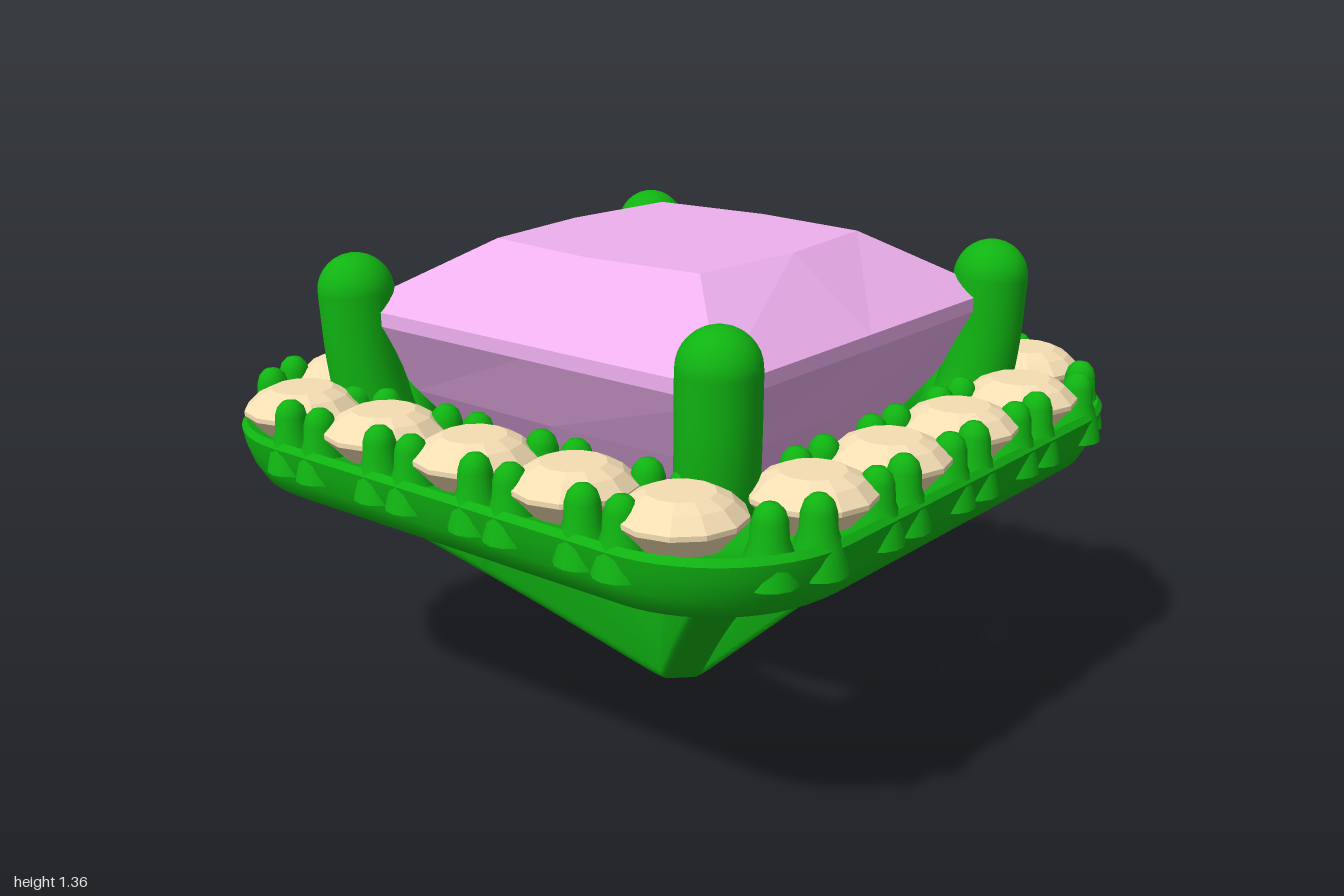
import * as THREE from 'three';
import { toCreasedNormals } from 'three/addons/utils/BufferGeometryUtils.js';

const metal = new THREE.MeshStandardMaterial({ color: 0x10b412 });
const pink = new THREE.MeshStandardMaterial({ color: 0xeeb0ee, flatShading: true });
const cream = new THREE.MeshStandardMaterial({ color: 0xf5deb3, flatShading: true });

// Skin a list of equal-length rings of [x, y, z] points
function loft(rings, closed) {
  const n = rings[0].length, index = [];
  const last = closed ? rings.length : rings.length - 1;
  for (let i = 0; i < last; i++) {
    const a = i * n, b = ((i + 1) % rings.length) * n;
    for (let j = 0; j < n; j++) {
      const k = (j + 1) % n;
      index.push(a + j, b + j, a + k, a + k, b + j, b + k);
    }
  }
  const g = new THREE.BufferGeometry();
  g.setAttribute('position', new THREE.Float32BufferAttribute(rings.flat(2), 3));
  g.setIndex(index);
  g.computeVertexNormals();
  return g;
}

// Rounded square of half-width h and corner radius r at height y
function roundedSquare(h, r, y, steps = 14) {
  const pts = [];
  for (let c = 0; c < 4; c++) {
    const mid = (c + 0.5) * Math.PI / 2;
    const cx = Math.sign(Math.cos(mid)) * (h - r), cz = Math.sign(Math.sin(mid)) * (h - r);
    for (let s = 0; s <= steps; s++) {
      const a = (c + s / steps) * Math.PI / 2;
      pts.push([cx + r * Math.cos(a), y, cz + r * Math.sin(a)]);
    }
  }
  return pts;
}

// Eight-point square: corners at half-width c, edge middles at m
function facetSquare(c, m, y) {
  return [[m, y, 0], [c, y, c], [0, y, m], [-c, y, c], [-m, y, 0], [-c, y, -c], [0, y, -m], [c, y, -c]];
}

export function createModel() {
  const root = new THREE.Group();
  const add = (name, geo, mat, parent = root) => {
    const m = new THREE.Mesh(geo, mat);
    m.name = name;
    parent.add(m);
    return m;
  };
  const group = (name) => {
    const g = new THREE.Group();
    g.name = name;
    root.add(g);
    return g;
  };

  // Square halo frame, swept from a rounded section
  const section = [
    [0.655, 0.07, 0.71], [0.68, 0.09, 0.682], [0.87, 0.31, 0.682], [0.92, 0.35, 0.69], [0.95, 0.37, 0.71],
    [0.975, 0.38, 0.76], [0.99, 0.39, 0.81], [0.998, 0.4, 0.85], [0.985, 0.39, 0.868],
    [0.95, 0.37, 0.85], [0.83, 0.25, 0.83], [0.69, 0.1, 0.85], [0.655, 0.07, 0.84],
  ];
  const frame = loft(section.map(([h, r, y]) => roundedSquare(h, r, y)), true);
  add('haloFrame', toCreasedNormals(frame, 0.8), metal);

  // Large square-cut centre stone
  const cuts = [
    [0, 0, 0.38], [0.21, 0.22, 0.51], [0.37, 0.39, 0.68], [0.53, 0.54, 0.92], [0.65, 0.65, 1.13],
    [0.65, 0.65, 1.17], [0.36, 0.395, 1.355], [0, 0, 1.355],
  ];
  add('centreStone', loft(cuts.map(([c, m, y]) => facetSquare(c, m, y))), pink);

  // Small round stones around the halo
  const stones = group('haloStones');
  const stoneProfile = [[0, 0.78], [0.09, 0.825], [0.162, 0.905], [0.162, 0.918], [0.125, 0.953], [0.085, 0.972], [0, 0.972]]
    .map(([x, y]) => new THREE.Vector2(x, y));
  const stoneGeo = new THREE.LatheGeometry(stoneProfile, 12);
  const stone = (x, z) => add('haloStone', stoneGeo, cream, stones).position.set(x, 0, z);
  for (const s of [-1, 1]) {
    for (const x of [-0.675, -0.34, 0, 0.34, 0.675]) stone(x, s * 0.825);
    for (const z of [-0.51, -0.172, 0.172, 0.51]) stone(s * 0.825, z);
  }

  // Small flared claws, in pairs between neighbouring stones
  const claws = group('haloClaws');
  const clawProfile = [[0.075, 0.78], [0.06, 0.85], [0.047, 0.885], [0.044, 0.93], [0.036, 0.955], [0.02, 0.971], [0, 0.975]]
    .map(([x, y]) => new THREE.Vector2(x, y));
  const clawGeo = new THREE.LatheGeometry(clawProfile, 14);
  const claw = (x, z) => add('haloClaw', clawGeo, metal, claws).position.set(x, 0, z);
  for (const s of [-1, 1]) {
    for (const d of [-0.06, 0.06]) {
      for (const depth of [0.7, 0.937]) {
        for (const m of [-0.53, -0.175, 0.175, 0.53]) claw(m + d, s * depth);
        for (const m of [-0.34, 0, 0.34]) claw(s * depth, m + d);
      }
    }
    for (const t of [-1, 1]) {
      claw(s * 0.885, t * 0.765);
      claw(s * 0.937, t * 0.645);
    }
  }

  // Diagonal basket legs meeting at the foot
  const D = Math.SQRT2, W = 0.13, B = 0.025;
  const v = (x, y) => new THREE.Vector2(x * D, y);
  const legShape = new THREE.Shape();
  legShape.moveTo(0, 0);
  legShape.lineTo(0.03 * D, 0);
  legShape.splineThru([v(0.06, 0.02), v(0.19, 0.15), v(0.33, 0.29), v(0.55, 0.5), v(0.7, 0.63), v(0.8, 0.7)]);
  legShape.lineTo(0.8 * D, 0.76);
  legShape.lineTo(0.56 * D, 0.76);
  legShape.lineTo(0.5 * D, 0.68);
  legShape.splineThru([v(0.36, 0.54), v(0.25, 0.43), v(0.08, 0.255)]);
  legShape.lineTo(0, 0.255);
  const legGeo = toCreasedNormals(new THREE.ExtrudeGeometry(legShape, {
    depth: W - 2 * B, bevelEnabled: true, bevelThickness: B, bevelSize: B, bevelOffset: -B, bevelSegments: 4, curveSegments: 16,
  }).translate(0, 0, B - W / 2), 0.7);

  // Tall corner prongs, leaning slightly in toward the basket
  const R = 0.107;
  const path = new THREE.CatmullRomCurve3([[0.58, 0.74], [0.615, 0.88], [0.632, 1.02], [0.641, 1.215]]
    .map(([x, y]) => new THREE.Vector3(x * D, y, 0)));
  const tubeGeo = new THREE.TubeGeometry(path, 16, R, 24);
  const ballGeo = new THREE.SphereGeometry(R, 24, 16);

  for (let i = 0; i < 4; i++) {
    const corner = group('basketCorner');
    corner.rotation.y = Math.PI / 4 + i * Math.PI / 2;
    add('leg', legGeo, metal, corner);
    add('prong', tubeGeo, metal, corner);
    add('prongTip', ballGeo, metal, corner).position.set(0.641 * D, 1.215, 0);
    add('prongRoot', ballGeo, metal, corner).position.set(0.58 * D, 0.74, 0);
  }
  return root;
}
